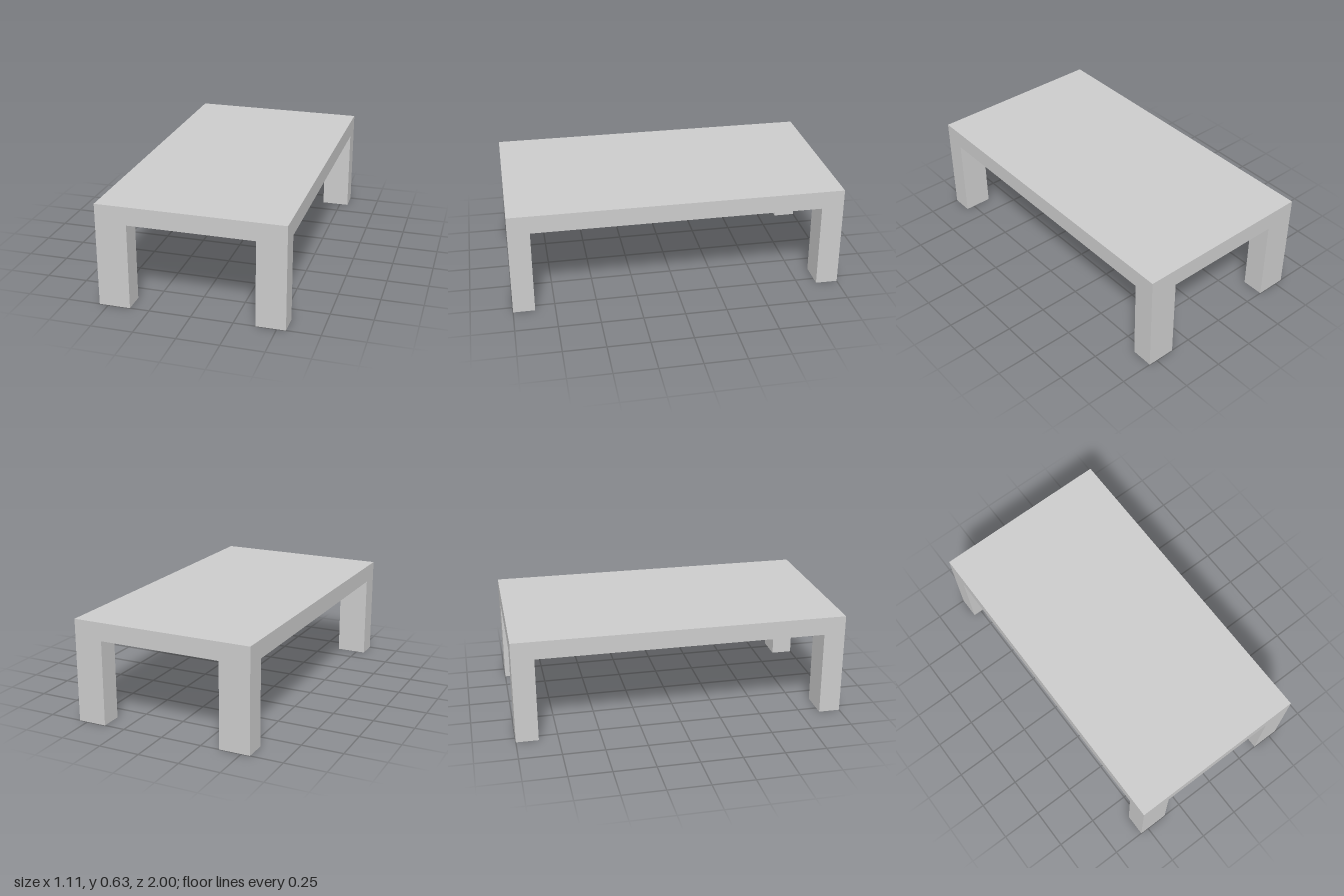
import * as THREE from 'three';

const WIDTH = 1.106, LENGTH = 2, HEIGHT = 0.626, LEG_HEIGHT = 0.517;

export function createModel() {
  const table = new THREE.Group();
  table.name = 'table';
  const material = new THREE.MeshStandardMaterial({ color: 0xcccccc, flatShading: true });

  const addBox = (name, w, h, d, x, y, z) => {
    const mesh = new THREE.Mesh(new THREE.BoxGeometry(w, h, d), material);
    mesh.name = name;
    mesh.position.set(x, y, z);
    table.add(mesh);
  };

  // Table top slab
  const thickness = HEIGHT - LEG_HEIGHT;
  addBox('tableTop', WIDTH, thickness, LENGTH, 0, HEIGHT - thickness / 2, 0);

  // Corner legs, flush with the slab edges; each side has its own leg size
  const sides = [{ name: 'Left', sign: 1, w: 0.174 }, { name: 'Right', sign: -1, w: 0.187 }];
  const ends = [{ name: 'front', sign: 1, d: 0.13 }, { name: 'back', sign: -1, d: 0.134 }];
  for (const end of ends) {
    for (const side of sides) {
      addBox(`${end.name}${side.name}Leg`, side.w, LEG_HEIGHT, end.d,
        side.sign * (WIDTH - side.w) / 2, LEG_HEIGHT / 2, end.sign * (LENGTH - end.d) / 2);
    }
  }
  return table;
}
